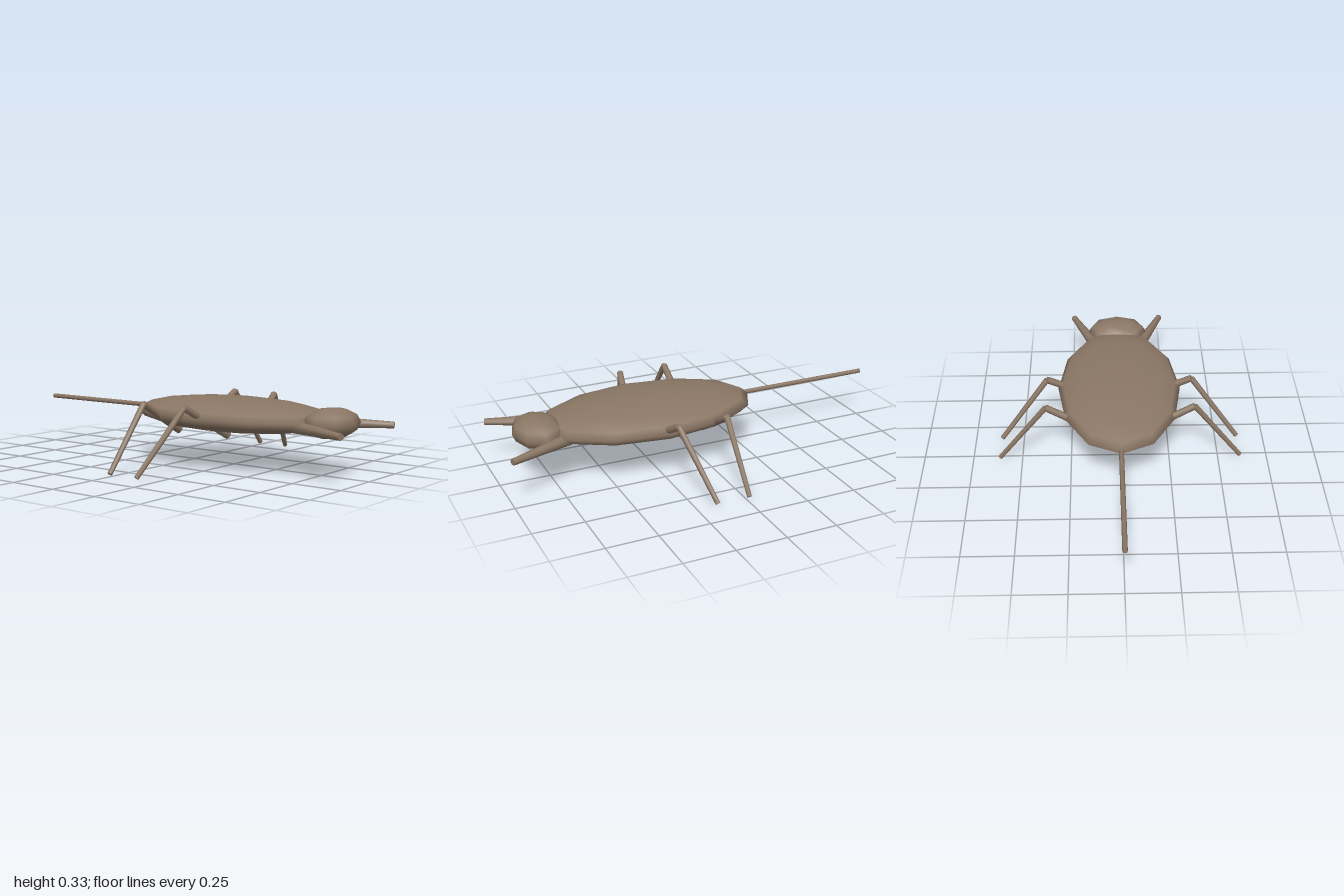
import * as THREE from 'three';

export function createModel() {
  const model = new THREE.Group();
  model.name = 'waterInsect';
  const brown = new THREE.MeshStandardMaterial({ color: 0x8b7765 });
  brown.name = 'dull brown';

  const add = (name, geometry) => {
    const mesh = new THREE.Mesh(geometry, brown);
    mesh.name = name;
    model.add(mesh);
    return mesh;
  };

  // Flattened low-sided ellipsoid
  const ellipsoid = (name, segments, rings, centre, radii) => {
    const geometry = new THREE.SphereGeometry(1, segments, rings);
    geometry.scale(...radii).translate(...centre);
    return add(name, geometry);
  };

  // Tapered rod between two points
  const rod = (name, from, to, rFrom, rTo, sides = 8) => {
    const a = new THREE.Vector3(...from);
    const b = new THREE.Vector3(...to);
    const dir = b.clone().sub(a);
    const mesh = add(name, new THREE.CylinderGeometry(rTo, rFrom, dir.length(), sides));
    mesh.position.copy(a).add(b).multiplyScalar(0.5);
    mesh.quaternion.setFromUnitVectors(new THREE.Vector3(0, 1, 0), dir.normalize());
    return mesh;
  };

  ellipsoid('body', 12, 8, [0.24, 0.253, 0], [0.56, 0.083, 0.315]);
  ellipsoid('head', 8, 6, [0.8, 0.253, 0], [0.125, 0.073, 0.163]);

  // Breathing tube at the rear
  rod('tail', [-0.28, 0.255, 0], [-1, 0.255, 0], 0.012, 0.012);

  for (const s of [1, -1]) {
    const side = s > 0 ? 'Right' : 'Left';

    // Grasping foreleg
    rod('foreleg' + side, [0.68, 0.236, 0.118 * s], [0.993, 0.234, 0.243 * s], 0.03, 0.016);

    // Walking legs: the thigh runs through the body from the underside
    const legs = [
      ['middle', [0.29, 0.163, 0.11], [0.232, 0.315, 0.372], [0.145, 0.01, 0.613]],
      ['hind', [-0.012, 0.163, 0.11], [-0.018, 0.315, 0.372], [-0.018, 0.01, 0.613]],
    ];
    for (const [name, hip, knee, foot] of legs) {
      const mirror = ([x, y, z]) => [x, y, z * s];
      rod(name + 'Thigh' + side, mirror(hip), mirror(knee), 0.021, 0.017);
      rod(name + 'Shin' + side, mirror(knee), mirror(foot), 0.015, 0.012);
    }
  }
  return model;
}
